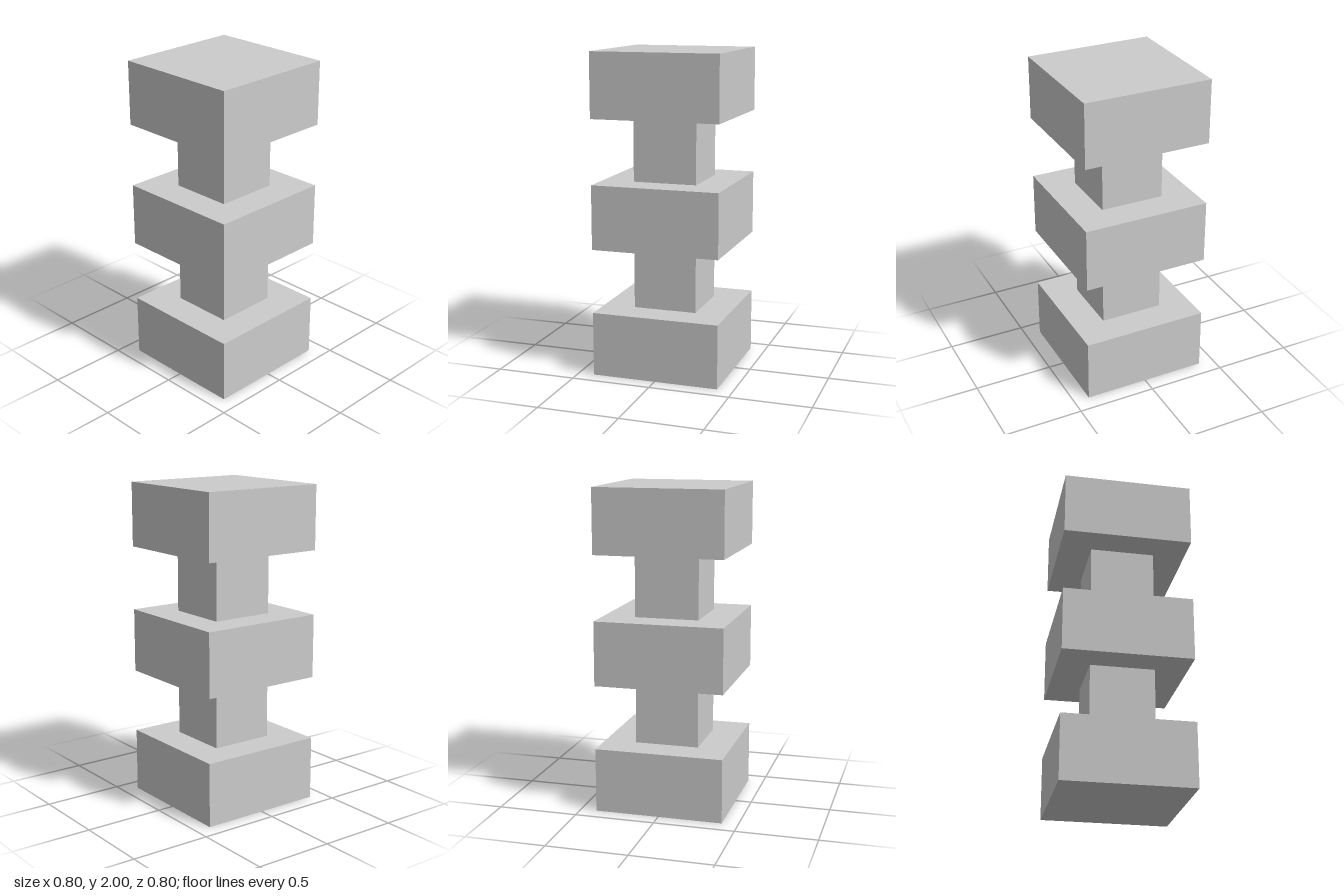
import * as THREE from 'three';

const TIER = 0.4; // height of every block and neck

export function createModel() {
  const group = new THREE.Group();
  group.name = 'steppedColumn';
  const material = new THREE.MeshStandardMaterial({ color: 0xcccccc, flatShading: true });

  // Wide blocks alternate with narrow necks, stacked from the ground up
  const names = ['baseBlock', 'lowerNeck', 'middleBlock', 'upperNeck', 'topBlock'];
  names.forEach((name, i) => {
    const width = i % 2 === 0 ? 0.8 : 0.4;
    const mesh = new THREE.Mesh(new THREE.BoxGeometry(width, TIER, width), material);
    mesh.name = name;
    mesh.position.y = (i + 0.5) * TIER;
    group.add(mesh);
  });

  return group;
}
